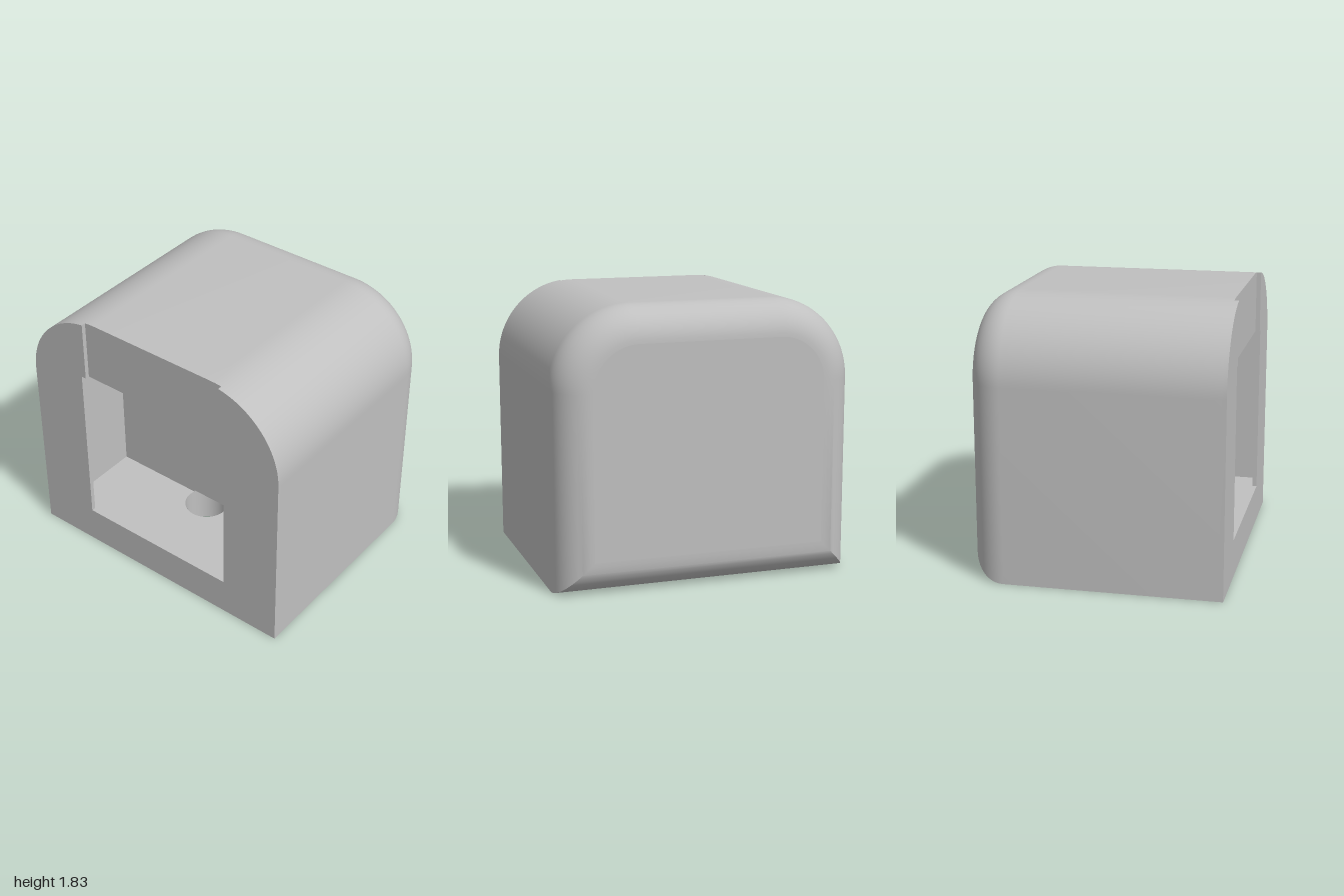
import * as THREE from 'three';
import { toCreasedNormals } from 'three/addons/utils/BufferGeometryUtils.js';

const H = 1.83, R = 0.53, FRONT = 0.83, STEP = 0.8, FILLET = 0.23;
const OPEN = 0.58, NOTCH = 0.545, LOW = 0.26, HIGH = 1.41; // opening and notch
const CAV = 0.78, WALL = 0.24;                             // cavity half width, back wall z
const HOLE_R = 0.15, HOLE_Z = 0.28, HOLE_TOP = 0.272;

// Arch outline inset by d, counter-clockwise from the lower right corner
function arch(d) {
  const pts = [new THREE.Vector2(1 - d, d)], n = 24, r = R - d;
  for (const side of [1, -1]) {
    for (let i = 0; i <= n; i++) {
      const a = (side > 0 ? i : n + i) / n * Math.PI / 2;
      pts.push(new THREE.Vector2(side * (1 - R) + r * Math.cos(a), H - R + r * Math.sin(a)));
    }
  }
  pts.push(new THREE.Vector2(d - 1, d));
  return pts;
}

// Sides, top and rounded back edge, lofted through inset arches
function shellGeometry() {
  const rings = [[0, STEP]], steps = 14, pos = [], idx = [];
  for (let i = 0; i <= steps; i++) {
    const a = i / steps * Math.PI / 2;
    rings.push([FILLET * (1 - Math.cos(a)), FILLET - FRONT - FILLET * Math.sin(a)]);
  }
  const n = arch(0).length;
  rings.forEach(([d, z]) => arch(d).forEach(p => pos.push(p.x, p.y, z)));
  for (let j = 0; j < rings.length - 1; j++) {
    for (let i = 0; i < n; i++) {
      if (j === 0 && i === n - 1) continue; // flat underside is a separate part
      const k = (i + 1) % n, a = j * n + i, b = j * n + k;
      idx.push(a, a + n, b, b, a + n, b + n);
    }
  }
  const g = new THREE.BufferGeometry();
  g.setAttribute('position', new THREE.Float32BufferAttribute(pos, 3));
  g.setIndex(idx);
  return toCreasedNormals(g.toNonIndexed(), 0.5);
}

const polygon = pts => new THREE.Shape(pts.map(([x, y]) => new THREE.Vector2(x, y)));

export function createModel() {
  const group = new THREE.Group();
  const grey = new THREE.MeshStandardMaterial({ color: 0xc0c0c0, side: THREE.DoubleSide });
  grey.name = 'grey';
  const add = (name, geometry, x = 0, y = 0, z = 0) => {
    const mesh = new THREE.Mesh(geometry, grey);
    mesh.name = name;
    mesh.position.set(x, y, z);
    group.add(mesh);
  };
  const flat = shape => new THREE.ShapeGeometry(shape, 32);

  // Outer body
  add('bodyShell', shellGeometry());
  add('backFace', flat(new THREE.Shape(arch(FILLET))).rotateY(Math.PI), 0, 0, -FRONT);
  const under = polygon([[-1, FILLET - FRONT], [1, FILLET - FRONT], [1, STEP], [-1, STEP]]);
  under.holes.push(new THREE.Path().absarc(0, HOLE_Z, HOLE_R, 0, Math.PI * 2, true));
  add('underside', flat(under).rotateX(Math.PI / 2));

  // Front plate with the square opening and the shallow notch running to the top
  const outline = arch(0);
  const notchY = H - R + Math.sqrt(R * R - (NOTCH - 1 + R) ** 2);
  const cut = [[NOTCH, notchY], [NOTCH, HIGH], [OPEN, HIGH], [OPEN, LOW],
    [-OPEN, LOW], [-OPEN, HIGH], [-NOTCH, HIGH], [-NOTCH, notchY]].map(p => new THREE.Vector2(...p));
  const plate = new THREE.Shape([
    ...outline.filter(p => p.x > NOTCH), ...cut, ...outline.filter(p => p.x < -NOTCH)]);
  add('frontPlate', toCreasedNormals(
    new THREE.ExtrudeGeometry(plate, { depth: FRONT - STEP, bevelEnabled: false }), 0.5), 0, 0, STEP);
  const top = outline.filter(p => Math.abs(p.x) < NOTCH && p.y > HIGH);
  add('notchFace', flat(new THREE.Shape([cut[1], cut[0], ...top, cut[7], cut[6]])), 0, 0, STEP);

  // Cavity behind the opening, wider than the opening itself
  const depth = STEP - WALL, midZ = (STEP + WALL) / 2, midY = (LOW + HIGH) / 2;
  for (const s of [1, -1]) {
    add(s > 0 ? 'cavityLeftWall' : 'cavityRightWall',
      new THREE.PlaneGeometry(depth, HIGH - LOW).rotateY(-s * Math.PI / 2), s * CAV, midY, midZ);
  }
  add('cavityCeiling', new THREE.PlaneGeometry(2 * CAV, depth).rotateX(Math.PI / 2), 0, HIGH, midZ);
  const t = Math.asin((HOLE_Z - WALL) / HOLE_R), chord = HOLE_R * Math.cos(t);
  const floor = polygon([[-CAV, -STEP], [CAV, -STEP], [CAV, -WALL], [chord, -WALL]]);
  floor.absarc(0, -HOLE_Z, HOLE_R, t, Math.PI - t, true);
  floor.lineTo(-CAV, -WALL);
  add('cavityFloor', flat(floor).rotateX(-Math.PI / 2), 0, LOW, 0);
  add('cavityBackWall', flat(polygon([[-CAV, LOW], [-chord, LOW], [-chord, HOLE_TOP],
    [chord, HOLE_TOP], [chord, LOW], [CAV, LOW], [CAV, HIGH], [-CAV, HIGH]])), 0, 0, WALL);

  // Round hole through the floor, biting slightly into the back wall
  add('holeWall', new THREE.CylinderGeometry(HOLE_R, HOLE_R, LOW, 48, 1, true), 0, LOW / 2, HOLE_Z);
  const rise = HOLE_TOP - LOW, half = Math.PI / 2 - t;
  add('holeRim', new THREE.CylinderGeometry(HOLE_R, HOLE_R, rise, 24, 1, true, Math.PI - half, 2 * half),
    0, LOW + rise / 2, HOLE_Z);
  const cap = new THREE.Shape().absarc(0, -HOLE_Z, HOLE_R, t, Math.PI - t, false);
  add('holeTop', flat(cap).rotateX(-Math.PI / 2), 0, HOLE_TOP, 0);
  return group;
}
